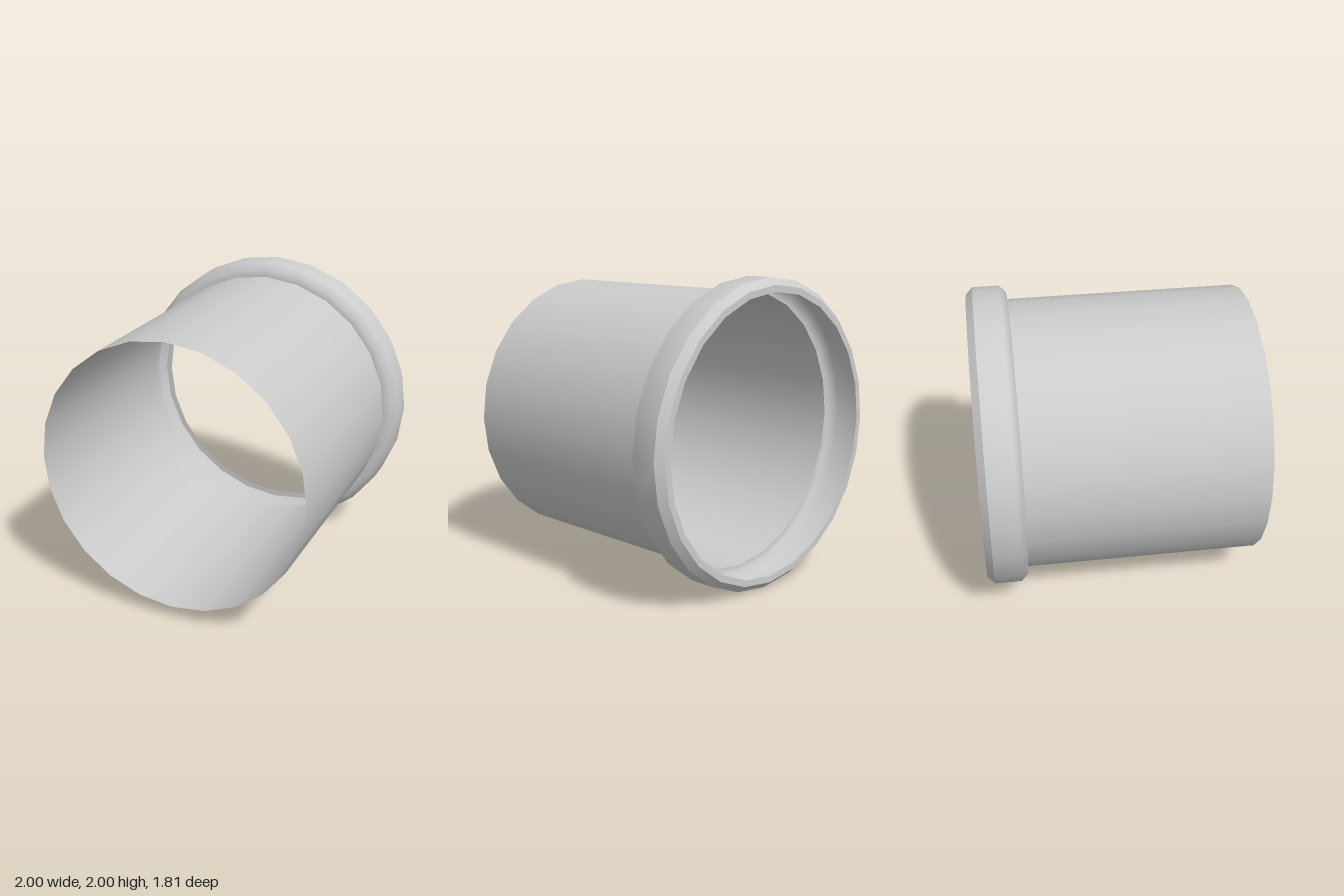
import * as THREE from 'three';

const SIDES = 24;

// Revolves a [radius, z] profile, listed from back to front, around the z axis.
function ring(name, profile, material) {
  const points = profile.map(([r, z]) => new THREE.Vector2(r, z));
  const geometry = new THREE.LatheGeometry(points, SIDES);
  geometry.rotateX(Math.PI / 2);
  const mesh = new THREE.Mesh(geometry, material);
  mesh.name = name;
  mesh.position.y = 1;
  return mesh;
}

export function createModel() {
  const group = new THREE.Group();
  group.name = 'pipeSection';
  const material = new THREE.MeshStandardMaterial({ color: 0xcccccc, side: THREE.DoubleSide });

  group.add(
    // Thin open pipe
    ring('pipe', [[0.907, -0.64], [0.907, 0.907]], material),
    // Hollow collar, rounded where it steps down to the pipe
    ring('collar', [[1, -0.86], [1, -0.685], [0.955, -0.64], [0.907, -0.64]], material),
    // Bevelled edge and flat lip closing the back of the collar
    ring('collarBevel', [[0.955, -0.907], [1, -0.86]], material),
    ring('collarLip', [[0.912, -0.907], [0.955, -0.907]], material),
  );
  return group;
}
